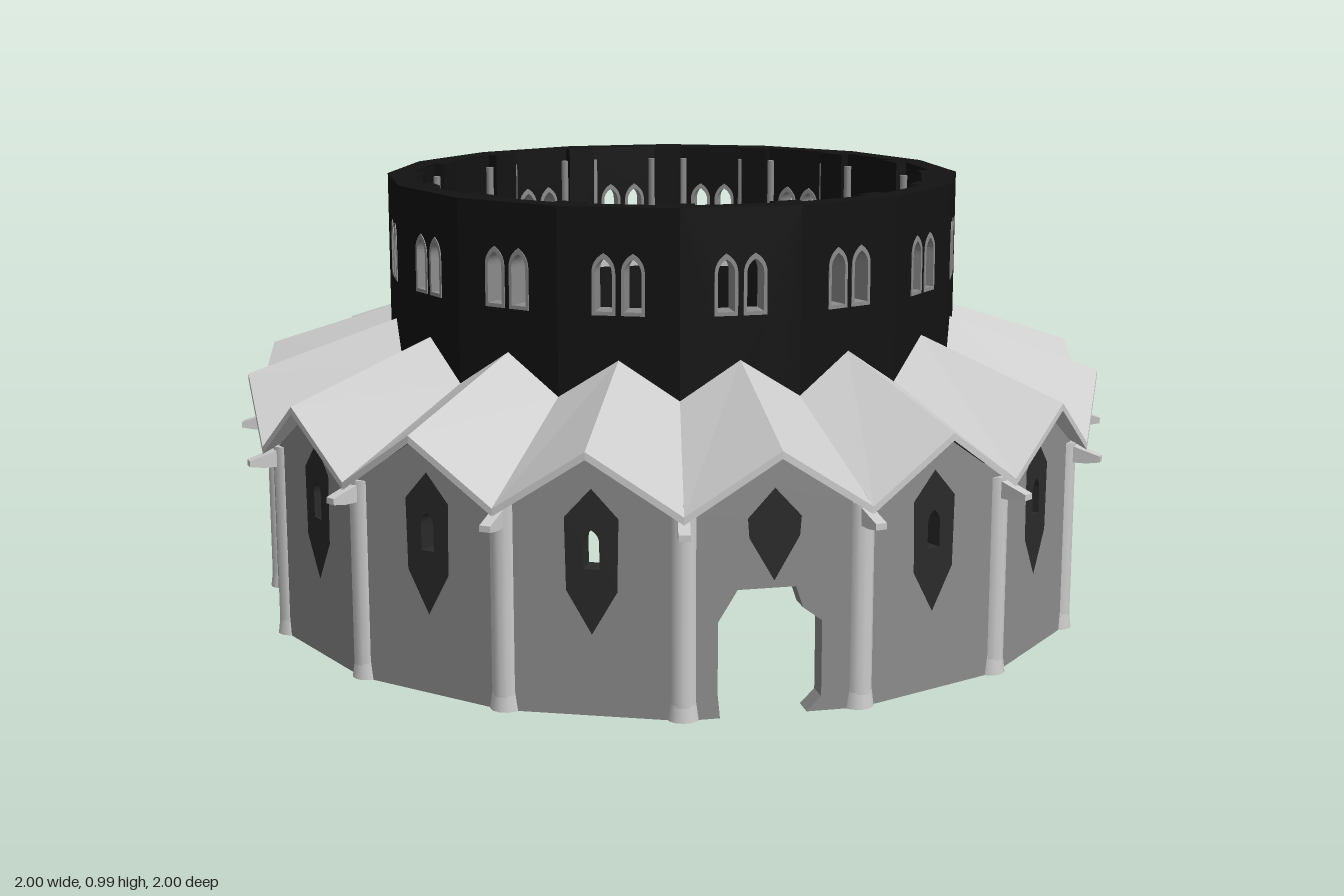
import * as THREE from 'three';

const BAYS = 16;
const STEP = (Math.PI * 2) / BAYS;
const HALF = Math.tan(STEP / 2);
const WALL_R = 0.93; // distance from centre to the outer wall faces
const DRUM_R = 0.647; // distance from centre to the drum faces

const mat = (color) => new THREE.MeshStandardMaterial({ color });
const grey = mat(0xcccccc);
const stone = mat(0x8c8c8c);
const dark = mat(0x121212);
const shade = mat(0x2a2a2a);

function add(parent, name, geometry, material) {
  const mesh = new THREE.Mesh(geometry, material);
  mesh.name = name;
  parent.add(mesh);
  return mesh;
}

const polygon = (Type, pts) => new Type(pts.map(([x, y]) => new THREE.Vector2(x, y)));

// Pointed-arch outline centred on x
function lancet(Type, x, y0, y1, half) {
  const spring = y1 - half * 1.7;
  const p = new Type();
  p.moveTo(x - half, y0);
  p.lineTo(x + half, y0);
  p.lineTo(x + half, spring);
  p.quadraticCurveTo(x + half, y1 - half * 0.6, x, y1);
  p.quadraticCurveTo(x - half, y1 - half * 0.6, x - half, spring);
  p.closePath();
  return p;
}

// Slab facing +z, its outer face at distance front
function slab(shape, front, depth) {
  const g = new THREE.ExtrudeGeometry(shape, { depth, bevelEnabled: false, curveSegments: 6 });
  return g.translate(0, 0, front - depth);
}

// Profile drawn as (radius, height), given a width across the radius
function radial(shape, width) {
  const g = new THREE.ExtrudeGeometry(shape, { depth: width, bevelEnabled: false, curveSegments: 10 });
  return g.translate(0, 0, -width / 2).rotateY(-Math.PI / 2);
}

// Gabled roof: ridge and two valleys running from the eave up to the drum
function roofGeometry() {
  const eave = [[-0.192, 0.43, 0.966], [0, 0.557, 0.985], [0.192, 0.43, 0.966]];
  const top = [[-0.129, 0.59, 0.645], [0, 0.672, 0.645], [0.129, 0.59, 0.645]];
  const low = (p) => [p[0], p[1] - 0.016, p[2]];
  const pos = [];
  const quad = (a, b, c, d) => pos.push(...a, ...b, ...c, ...a, ...c, ...d);
  for (let i = 0; i < 2; i++) {
    const [a, b, c, d] = [eave[i], eave[i + 1], top[i + 1], top[i]];
    quad(a, b, c, d);
    quad(low(d), low(c), low(b), low(a));
    quad(low(a), low(b), b, a);
  }
  const g = new THREE.BufferGeometry();
  g.setAttribute('position', new THREE.Float32BufferAttribute(pos, 3));
  g.computeVertexNormals();
  return g;
}

// Gabled outer wall with a window panel, and the broken entrance if wanted
function outerWall(bay, entrance) {
  const w = WALL_R * HALF;
  const wall = polygon(THREE.Shape, entrance
    ? [[-w, 0], [-0.11, 0], [-0.115, 0.05], [-0.115, 0.2], [-0.075, 0.265], [0.045, 0.265], [0.06, 0.22],
      [0.1, 0.19], [0.1, 0.03], [0.07, 0], [w, 0], [w, 0.43], [0, 0.553], [-w, 0.43]]
    : [[-w, 0], [w, 0], [w, 0.43], [0, 0.553], [-w, 0.43]]);
  const foot = entrance ? 0.28 : 0.17;
  const outline = [[0, foot], [0.052, foot + 0.09], [0.055, 0.41], [0, 0.47], [-0.055, 0.41], [-0.052, foot + 0.09]];
  wall.holes.push(polygon(THREE.Path, outline));
  const panel = polygon(THREE.Shape, outline);
  panel.holes.push(lancet(THREE.Path, 0, 0.305, 0.385, 0.016));
  add(bay, 'outerWall', slab(wall, WALL_R, 0.05), stone);
  add(bay, 'windowPanel', slab(panel, WALL_R, 0.05), shade);
}

// Drum face: arcade arch below, a pair of lancets above
function drumFace(bay) {
  const w = DRUM_R * HALF;
  const r = 0.088;
  const spring = 0.38;
  const face = new THREE.Shape();
  face.moveTo(-w, 0.34);
  face.lineTo(-r, 0.34);
  face.lineTo(-r, spring);
  face.absarc(0, spring, r, Math.PI, 0, true);
  face.lineTo(r, 0.34);
  face.lineTo(w, 0.34);
  face.lineTo(w, 0.99);
  face.lineTo(-w, 0.99);
  face.closePath();
  for (const x of [-0.031, 0.031]) {
    face.holes.push(lancet(THREE.Path, x, 0.765, 0.895, 0.025));
    const frame = lancet(THREE.Shape, x, 0.765, 0.895, 0.025);
    frame.holes.push(lancet(THREE.Path, x, 0.773, 0.883, 0.018));
    add(bay, 'drumWindowFrame', slab(frame, DRUM_R + 0.002, 0.056), stone);
  }
  add(bay, 'drumFace', slab(face, DRUM_R, 0.05), dark);

  // Mouldings on the inside
  const arch = new THREE.TorusGeometry(r + 0.008, 0.01, 6, 16, Math.PI);
  add(bay, 'archMoulding', arch.translate(0, spring, 0.595), grey);
  const course = new THREE.BoxGeometry(0.236, 0.016, 0.02);
  add(bay, 'stringCourse', course.translate(0, 0.69, 0.591), grey);
}

// Everything standing on the corner between two bays
function corner(parent) {
  const rib = new THREE.Shape();
  rib.moveTo(0.93, 0);
  rib.lineTo(0.93, 0.425);
  rib.lineTo(0.65, 0.565);
  rib.lineTo(0.605, 0.565);
  rib.lineTo(0.605, 0.34);
  rib.lineTo(0.65, 0.34);
  rib.quadraticCurveTo(0.84, 0.3, 0.86, 0);
  rib.closePath();
  add(parent, 'archedRib', radial(rib, 0.065), dark);

  const shaft = new THREE.CylinderGeometry(0.028, 0.028, 0.43, 12);
  add(parent, 'cornerColumn', shaft.translate(0, 0.215, 0.932), grey);
  const base = new THREE.CylinderGeometry(0.028, 0.034, 0.045, 12);
  add(parent, 'columnBase', base.translate(0, 0.0225, 0.93), grey);

  const spout = polygon(THREE.Shape, [[0.93, 0.385], [0.985, 0.385], [1.017, 0.39], [1.017, 0.403], [0.93, 0.43]]);
  add(parent, 'waterSpout', radial(spout, 0.024), grey);

  // Pilaster inside the drum with a slim shaft on each side
  const pilaster = new THREE.BoxGeometry(0.066, 0.65, 0.04);
  add(parent, 'pilaster', pilaster.translate(0, 0.665, 0.595), dark);
  for (const x of [-0.04, 0.04]) {
    const slim = new THREE.CylinderGeometry(0.009, 0.009, 0.62, 8);
    add(parent, 'pilasterShaft', slim.translate(x, 0.65, 0.592), stone);
  }
}

export function createModel() {
  const model = new THREE.Group();
  model.name = 'roundChurch';
  for (let i = 0; i < BAYS; i++) {
    const bay = new THREE.Group();
    bay.name = 'bay';
    bay.rotation.y = i * STEP;
    outerWall(bay, i === 1);
    drumFace(bay);
    add(bay, 'gabledRoof', roofGeometry(), grey);
    const joint = new THREE.Group();
    joint.name = 'bayCorner';
    joint.rotation.y = STEP / 2;
    corner(joint);
    bay.add(joint);
    model.add(bay);
  }
  return model;
}
